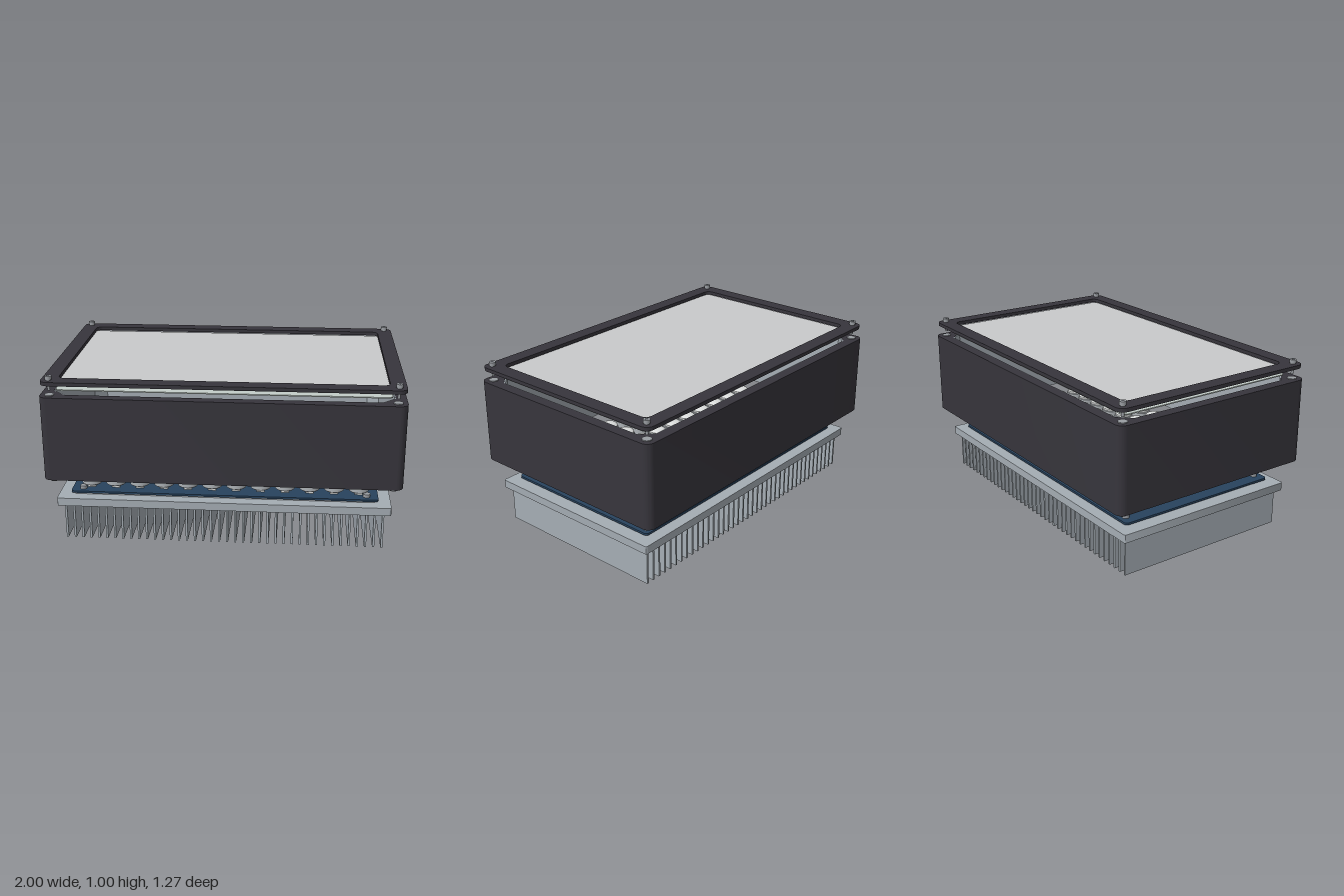
import * as THREE from 'three';
import { toCreasedNormals } from 'three/addons/utils/BufferGeometryUtils.js';

const mat = (name, color) => {
  const m = new THREE.MeshStandardMaterial({ color });
  m.name = name;
  return m;
};

// Rounded rectangle (half sizes a, b) as a shape or hole outline
function roundRect(a, b, r, Type = THREE.Shape) {
  const s = new Type();
  s.moveTo(a, -b + r);
  s.lineTo(a, b - r);
  s.absarc(a - r, b - r, r, 0, Math.PI / 2);
  s.absarc(-a + r, b - r, r, Math.PI / 2, Math.PI);
  s.absarc(-a + r, -b + r, r, Math.PI, Math.PI * 1.5);
  s.absarc(a - r, -b + r, r, Math.PI * 1.5, Math.PI * 2);
  return s;
}

// Rectangle with chamfered corners, leaving room for the corner bosses
function chamferRect(a, b, c, Type = THREE.Shape) {
  const s = new Type();
  [[a, b - c], [a - c, b], [c - a, b], [-a, b - c], [-a, c - b], [c - a, -b], [a - c, -b], [a, c - b]]
    .forEach(([x, y], i) => (i ? s.lineTo(x, y) : s.moveTo(x, y)));
  s.closePath();
  return s;
}

// Flat outline raised from y0 to y1
function slab(shape, y0, y1, hole) {
  if (hole) shape.holes.push(hole);
  const g = new THREE.ExtrudeGeometry(shape, { depth: y1 - y0, bevelEnabled: false, curveSegments: 8 });
  g.rotateX(-Math.PI / 2);
  g.translate(0, y0, 0);
  return toCreasedNormals(g, 0.6);
}

function disc(r, y0, y1, sides = 24) {
  return new THREE.CylinderGeometry(r, r, y1 - y0, sides).translate(0, (y0 + y1) / 2, 0);
}

export function createModel() {
  const dark = mat('dark housing', 0x37353c);
  const alu = mat('aluminium', 0xa5adb4);
  const steel = mat('screw steel', 0x9a9ea3);
  const board = mat('circuit board blue', 0x28435e);
  const diffuse = mat('diffuser grey', 0xc9cacb);
  const clear = mat('pale glass', 0xc4cec9);
  const lensMat = mat('lens grey', 0xadb2b6);
  const pale = mat('pale plastic', 0xdcdedd);
  const socketMat = mat('socket shadow', 0x4c4f54);

  const root = new THREE.Group();
  const add = (name, geo, m, parent = root, x = 0, y = 0, z = 0) => {
    const mesh = new THREE.Mesh(geo, m);
    mesh.name = name;
    mesh.position.set(x, y, z);
    parent.add(mesh);
    return mesh;
  };
  const group = (name) => {
    const g = new THREE.Group();
    g.name = name;
    root.add(g);
    return g;
  };
  const corners = (x, z, fn) => {
    for (const sx of [-1, 1]) for (const sz of [-1, 1]) fn(sx * x, sz * z);
  };

  // Heat sink: base plate with thin fins underneath
  const sink = group('heatSink');
  add('heatSinkBase', slab(roundRect(0.95, 0.565, 0.012), 0.213, 0.26), alu, sink);
  const finGeo = new THREE.BoxGeometry(0.012, 0.215, 1.07);
  const fins = 40;
  for (let i = 0; i < fins; i++) {
    add('heatSinkFin', finGeo, alu, sink, -0.908 + (1.816 * i) / (fins - 1), 0.1075, 0);
  }

  // Thermal pad and circuit board
  add('thermalPad', slab(roundRect(0.865, 0.495, 0.02), 0.26, 0.269), lensMat);
  add('circuitBoard', slab(roundRect(0.88, 0.505, 0.02), 0.269, 0.281), board);

  // Screws holding the board
  const boardScrews = group('boardScrews');
  const boardHead = disc(0.02, 0.281, 0.3);
  corners(0.815, 0.46, (x, z) => add('boardScrewHead', boardHead, steel, boardScrews, x, 0, z));

  // Power connector
  add('connector', new THREE.BoxGeometry(0.045, 0.057, 0.06), pale, root, 0.833, 0.3095, -0.45);

  // Emitters and collimating lenses, 12 by 7
  const emitters = group('emitters');
  const lenses = group('lenses');
  const padGeo = new THREE.BoxGeometry(0.046, 0.008, 0.046);
  const domeGeo = new THREE.SphereGeometry(0.016, 12, 6, 0, Math.PI * 2, 0, Math.PI / 2);
  domeGeo.scale(1, 0.6, 1);
  const V = (x, y) => new THREE.Vector2(x, y);
  const lensGeo = toCreasedNormals(new THREE.LatheGeometry([
    V(0, 0.315), V(0.022, 0.315), V(0.025, 0.305), V(0.055, 0.305), V(0.058, 0.308),
    V(0.058, 0.382), V(0.055, 0.386), V(0.052, 0.386),
  ], 20), 0.6);
  const capGeo = toCreasedNormals(new THREE.LatheGeometry([
    V(0.052, 0.386), V(0.052, 0.397), V(0.046, 0.404), V(0.03, 0.409), V(0, 0.411),
  ], 20), 0.6);
  for (let i = 0; i < 12; i++) {
    for (let j = 0; j < 7; j++) {
      const x = (i - 5.5) * 0.14, z = (j - 3) * 0.14;
      add('emitterPad', padGeo, pale, emitters, x, 0.287, z);
      add('emitterDome', domeGeo, pale, emitters, x, 0.29, z);
      add('lensBody', lensGeo, lensMat, lenses, x, 0, z);
      add('lensCap', capGeo, pale, lenses, x, 0, z);
    }
  }

  // Open housing with a bright inner liner
  const housing = group('housing');
  add('housingWall', slab(roundRect(1, 0.635, 0.045), 0.402, 0.889,
    chamferRect(0.94, 0.575, 0.07, THREE.Path)), dark, housing);
  add('housingLiner', slab(chamferRect(0.94, 0.575, 0.07), 0.404, 0.887,
    chamferRect(0.934, 0.569, 0.07, THREE.Path)), alu, housing);

  // Corner bosses and bezel screws
  const bossTop = disc(0.026, 0.889, 0.894);
  const bossFoot = disc(0.026, 0.385, 0.402);
  const footHole = disc(0.013, 0.383, 0.386, 6);
  const screws = group('bezelScrews');
  const headGeo = disc(0.019, 0.98, 1);
  const washer = disc(0.015, 0.975, 0.98);
  const shaft = disc(0.008, 0.917, 0.976, 12);
  const socket = disc(0.009, 0.998, 1.0008, 6);
  corners(0.948, 0.582, (x, z) => {
    add('bossTop', bossTop, steel, housing, x, 0, z);
    add('bossFoot', bossFoot, steel, housing, x, 0, z);
    add('bossFootSocket', footHole, socketMat, housing, x, 0, z);
    add('screwHead', headGeo, steel, screws, x, 0, z);
    add('screwWasher', washer, steel, screws, x, 0, z);
    add('screwShaft', shaft, steel, screws, x, 0, z);
    add('screwSocket', socket, socketMat, screws, x, 0, z);
  });

  // Window plates and bezel frame
  add('lowerPlate', slab(roundRect(0.922, 0.556, 0.03), 0.906, 0.912), clear);
  add('diffuserPlate', slab(roundRect(0.922, 0.556, 0.03), 0.933, 0.946), diffuse);
  add('bezelFrame', slab(roundRect(0.992, 0.627, 0.045), 0.954, 0.975,
    roundRect(0.905, 0.54, 0.035, THREE.Path)), dark);

  return root;
}
